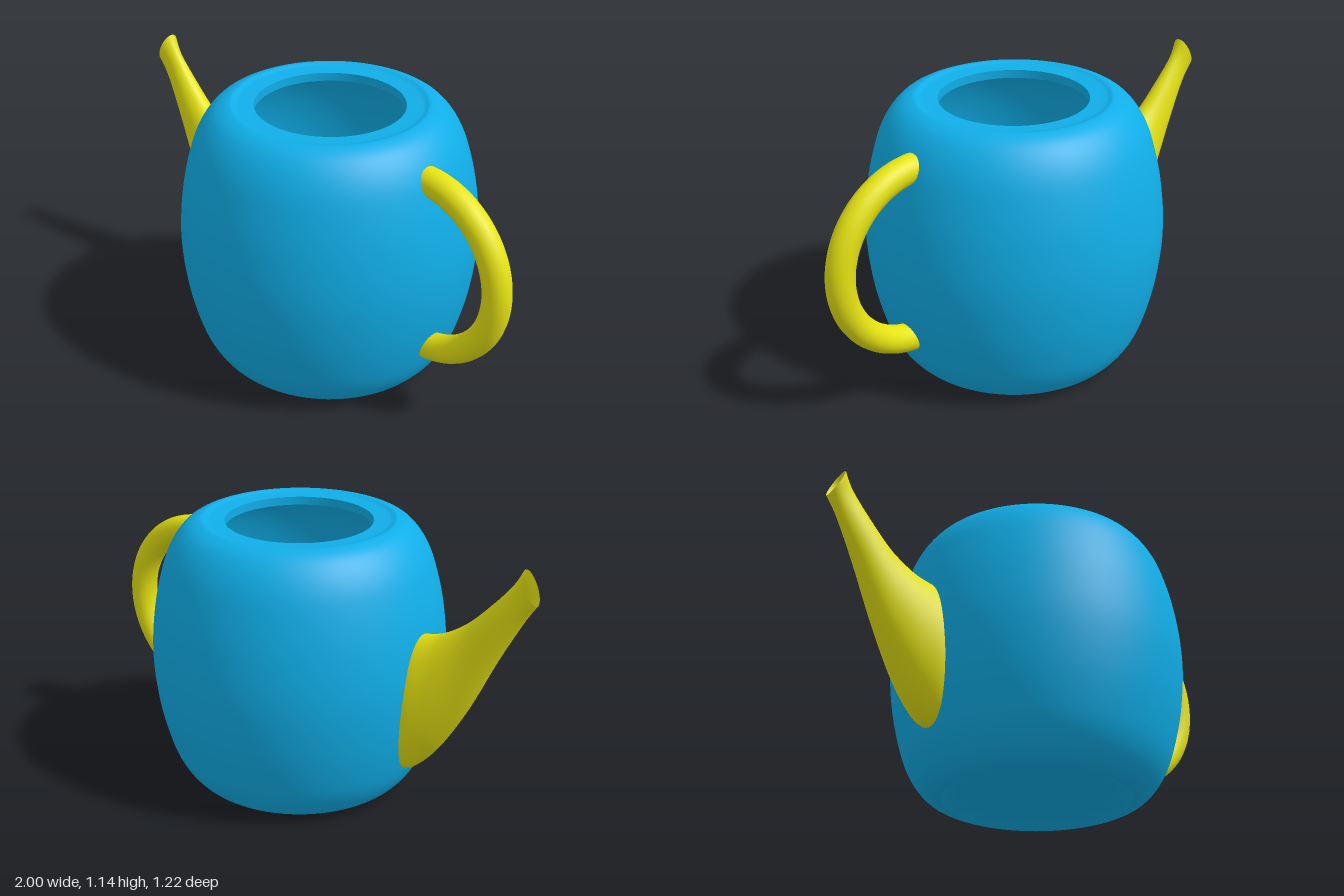
import * as THREE from 'three';

const BODY_X = 0.065;
const points = (list) => list.map(([x, y]) => new THREE.Vector2(x, y));
const smooth = (list, n) => new THREE.SplineCurve(points(list)).getPoints(n);

export function createModel() {
  const model = new THREE.Group();
  const blue = new THREE.MeshStandardMaterial({ color: 0x10aee8, side: THREE.DoubleSide });
  const yellow = new THREE.MeshStandardMaterial({ color: 0xe6e312, side: THREE.DoubleSide });

  const add = (name, geometry, material, x = 0, y = 0) => {
    const mesh = new THREE.Mesh(geometry, material);
    mesh.name = name;
    mesh.position.set(x, y, 0);
    model.add(mesh);
  };
  const turned = (name, profile) => add(name, new THREE.LatheGeometry(profile, 96), blue, BODY_X);

  // Rounded body with a slightly hollowed base and a shallow dip round the opening
  turned('bodyShell', smooth([
    [0.33, 0.025], [0.365, 0.012], [0.40, 0], [0.46, 0.03], [0.515, 0.1], [0.556, 0.2],
    [0.595, 0.37], [0.612, 0.57], [0.595, 0.77], [0.556, 0.94], [0.515, 1.04],
    [0.46, 1.11], [0.40, 1.14], [0.365, 1.133], [0.30, 1.13],
  ], 80));
  turned('bodyBase', points([[0, 0.025], [0.33, 0.025]]));
  turned('openingRim', points([[0.30, 1.13], [0.30, 1.095]]));
  turned('bodyInside', smooth([
    [0.30, 1.095], [0.39, 1.095], [0.46, 1.05], [0.52, 0.93], [0.56, 0.77], [0.577, 0.57],
    [0.56, 0.37], [0.52, 0.2], [0.46, 0.09], [0.39, 0.05], [0.2, 0.05], [0, 0.05],
  ], 60));

  // Half-ring handle with its ends sunk into the body wall
  const ring = new THREE.TorusGeometry(0.363, 0.057, 24, 64, Math.PI);
  ring.rotateZ(-Math.PI / 2);
  add('handle', ring, yellow, 0.58, 0.623);

  // Spout: elliptical sections spanning an upper and a lower edge curve
  const upper = new THREE.SplineCurve(points([
    [-0.50, 0.77], [-0.55, 0.777], [-0.62, 0.80], [-0.72, 0.865], [-0.82, 0.965], [-0.90, 1.06], [-0.94, 1.13]]));
  const lower = new THREE.SplineCurve(points([
    [-0.46, 0.17], [-0.52, 0.19], [-0.62, 0.30], [-0.74, 0.50], [-0.855, 0.74], [-0.95, 0.92], [-1.0, 1.0]]));
  const widths = new THREE.SplineCurve(points([
    [0, 0.145], [1, 0.14], [2, 0.115], [3, 0.08], [4, 0.055], [5, 0.038], [6, 0.045]]));
  const rows = 48, sides = 48, position = [], index = [];
  for (let i = 0; i <= rows; i++) {
    const a = upper.getPoint(i / rows), b = lower.getPoint(i / rows), w = widths.getPoint(i / rows).y;
    for (let j = 0; j < sides; j++) {
      const t = (j / sides) * Math.PI * 2, c = Math.cos(t) / 2;
      position.push((a.x + b.x) / 2 + (a.x - b.x) * c, (a.y + b.y) / 2 + (a.y - b.y) * c, w * Math.sin(t));
      if (i < rows) {
        const p = i * sides + j, q = i * sides + ((j + 1) % sides);
        index.push(p, p + sides, q, q, p + sides, q + sides);
      }
    }
  }
  // Corner order runs so that the faces look outward
  for (let k = 0; k < index.length; k += 3) [index[k + 1], index[k + 2]] = [index[k + 2], index[k + 1]];
  const spout = new THREE.BufferGeometry();
  spout.setAttribute('position', new THREE.Float32BufferAttribute(position, 3));
  spout.setIndex(index);
  spout.computeVertexNormals();
  add('spout', spout, yellow);

  return model;
}
